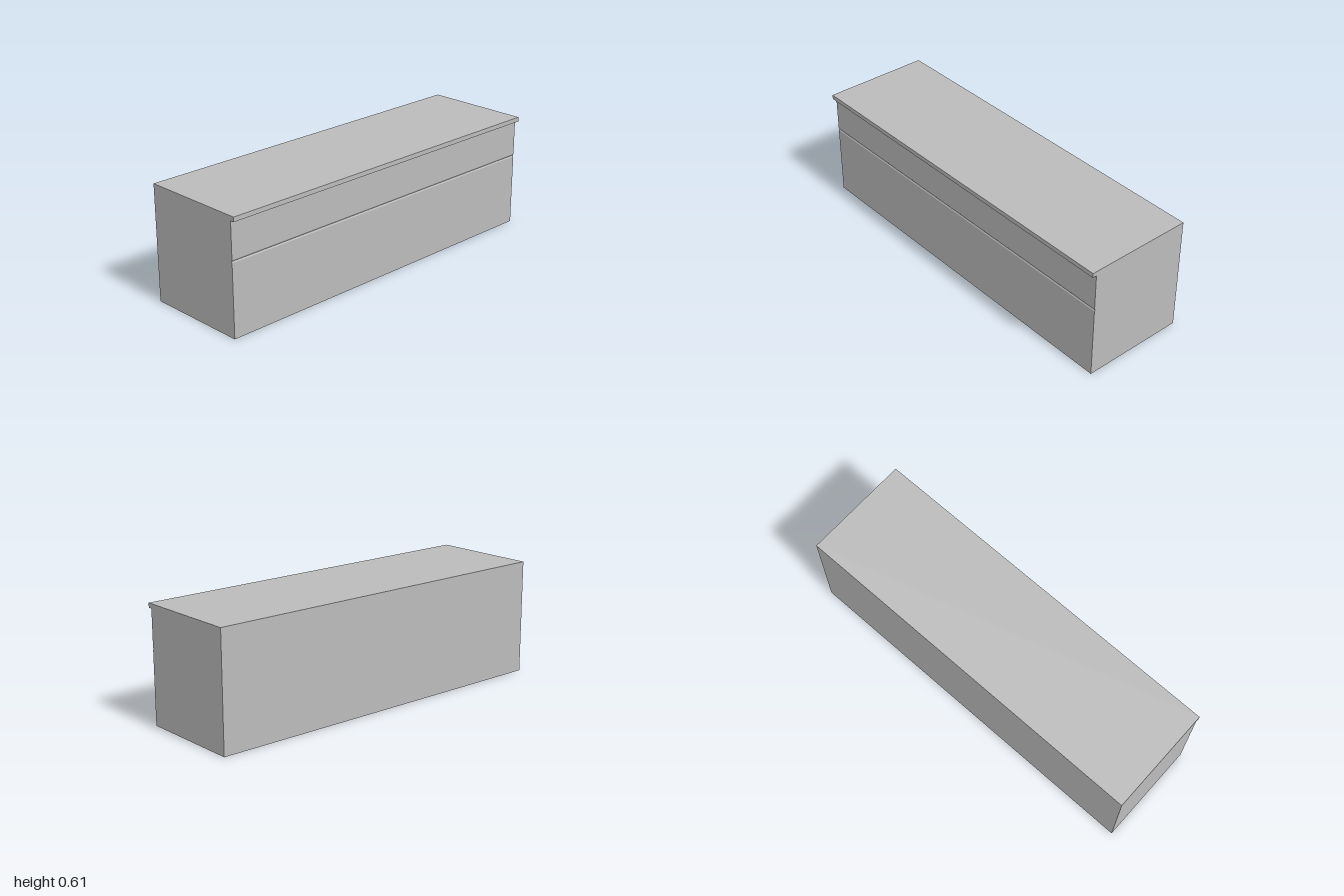
import * as THREE from 'three';

const WIDTH = 2;

// Side profile as [z, y]: body with a V groove in front and an overhanging top lip
const PROFILE = [
  [-0.29, 0], [0.268, 0],
  [0.268, 0.381], [0.264, 0.389], [0.268, 0.397], // groove
  [0.268, 0.588], [0.29, 0.588], [0.29, 0.612],   // lip
  [-0.29, 0.612],
];

export function createModel() {
  const group = new THREE.Group();
  group.name = 'cabinetBlock';

  const grey = new THREE.MeshStandardMaterial({ color: 0xbbbbbb });
  grey.name = 'grey';

  // Profile extruded along the full width
  const shape = new THREE.Shape(PROFILE.map(([z, y]) => new THREE.Vector2(z, y)));
  const geometry = new THREE.ExtrudeGeometry(shape, { depth: WIDTH, bevelEnabled: false });
  geometry.rotateY(-Math.PI / 2);
  geometry.translate(WIDTH / 2, 0, 0);

  const body = new THREE.Mesh(geometry, grey);
  body.name = 'bodyWithTopLip';
  group.add(body);
  return group;
}
